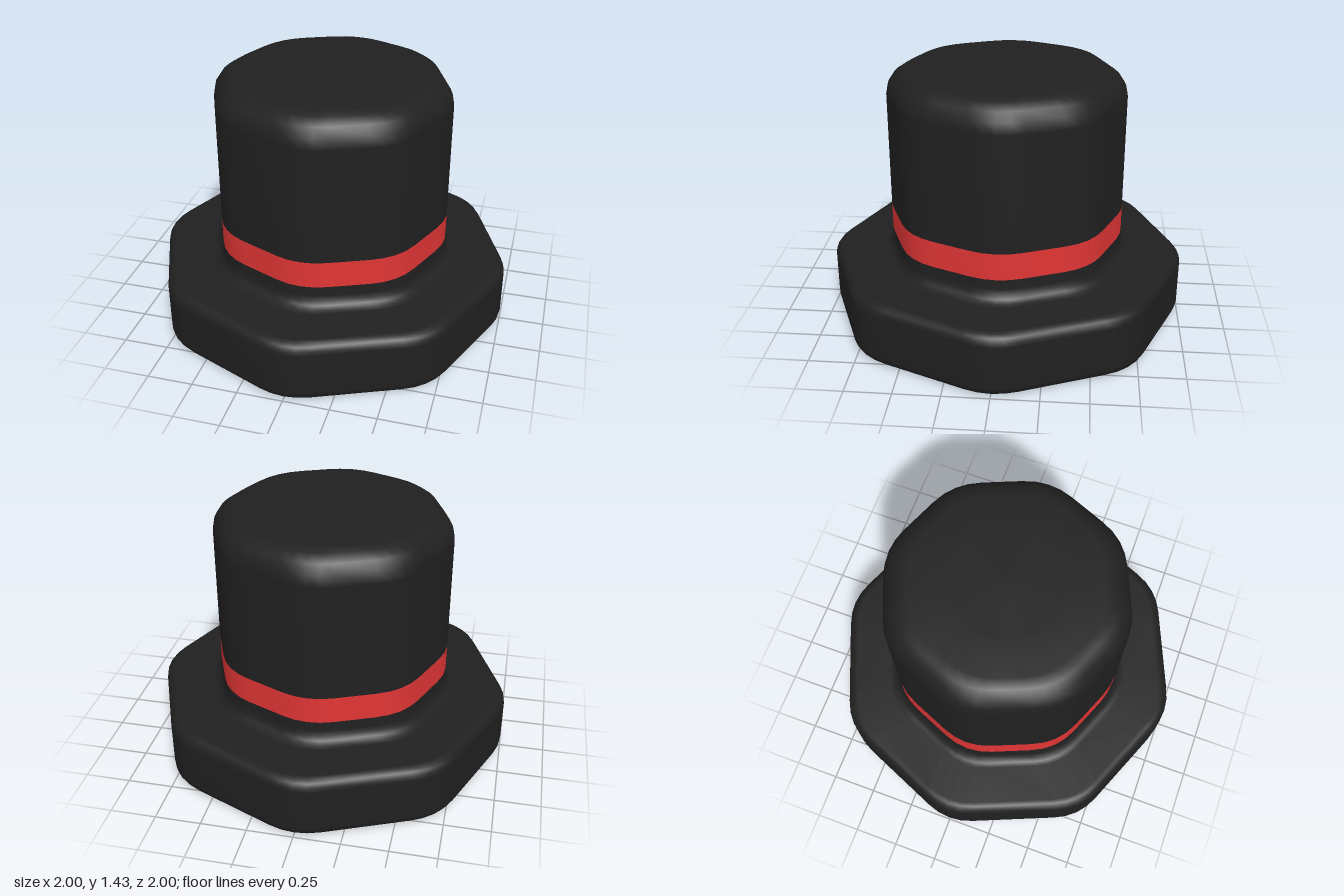
import * as THREE from 'three';

const SIDES = 8, STEPS = 4; // octagon, segments per rounded corner

// One point of a rounded octagon; r is the radius at the corner tips
function octagonPoint(r, corner, t) {
  const cut = Math.min(0.15, 0.3 * r);
  const across = 0.924 * cut * (2 * t - 1);
  const out = r + 0.19 * cut - 0.383 * cut * ((1 - t) ** 2 + t ** 2);
  const a = (corner / SIDES) * Math.PI * 2;
  return [Math.sin(a) * out + Math.cos(a) * across, Math.cos(a) * out - Math.sin(a) * across];
}

// Sweeps a [radius, height] profile around the rounded octagon
function octagonLathe(profile) {
  const pos = [], index = [], n = SIDES * (STEPS + 1);
  for (const [r, y] of profile)
    for (let c = 0; c < SIDES; c++)
      for (let s = 0; s <= STEPS; s++) {
        const [x, z] = octagonPoint(r, c, s / STEPS);
        pos.push(x, y, z);
      }
  for (let i = 0; i < profile.length - 1; i++)
    for (let j = 0; j < n; j++) {
      const k = (j + 1) % n, a = i * n + j, b = a + n, c = (i + 1) * n + k, d = i * n + k;
      index.push(a, b, c, a, c, d);
    }
  const geo = new THREE.BufferGeometry();
  geo.setAttribute('position', new THREE.Float32BufferAttribute(pos, 3));
  geo.setIndex(index);
  geo.computeVertexNormals();
  return geo;
}

// Quarter round from one angle to another, in degrees
function arc(cx, cy, radius, from, to, steps = 4) {
  return Array.from({ length: steps + 1 }, (_, i) => {
    const a = THREE.MathUtils.degToRad(from + ((to - from) * i) / steps);
    return [cx + radius * Math.cos(a), cy + radius * Math.sin(a)];
  });
}

export function createModel() {
  const hat = new THREE.Group();
  hat.name = 'topHat';
  const felt = new THREE.MeshStandardMaterial({ color: 0x202020, side: THREE.DoubleSide });
  const ribbon = new THREE.MeshStandardMaterial({ color: 0xe03535, side: THREE.DoubleSide });
  const add = (name, profile, material) => {
    const mesh = new THREE.Mesh(octagonLathe(profile), material);
    mesh.name = name;
    hat.add(mesh);
  };

  // Crown with a softly rounded top edge
  add('crown', [[0, 1.43], [0.3, 1.43], ...arc(0.505, 1.28, 0.15, 90, 0), [0.655, 0.635]], felt);

  // Ribbon band, flush with the crown
  add('band', [[0.655, 0.635], [0.655, 0.485]], ribbon);

  // Thick brim, its filleted joint, and the hollow inside
  add('brimAndLining', [
    [0.655, 0.485],
    ...arc(0.725, 0.43, 0.07, 180, 270),
    ...arc(0.94, 0.3, 0.06, 90, 0),
    ...arc(0.94, 0.06, 0.06, 0, -90),
    ...arc(0.66, 0.07, 0.07, 270, 180),
    [0.59, 1.24], [0.54, 1.34], [0.46, 1.37], [0, 1.37],
  ], felt);

  return hat;
}
